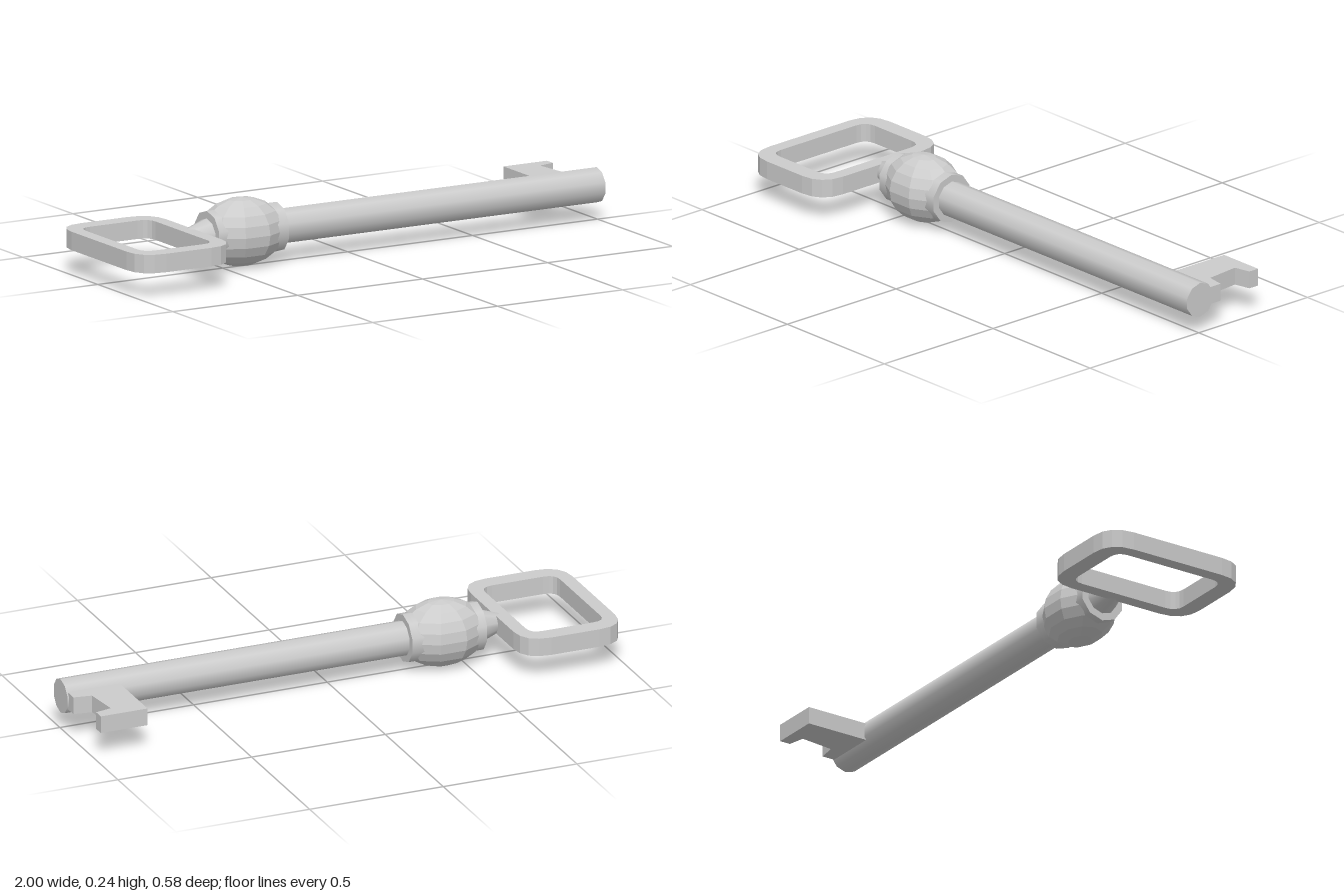
import * as THREE from 'three';

const AXIS_Y = 0.12, AXIS_Z = -0.006, SIDES = 10;

// Closed path around a rectangle with rounded corners
function roundedRect(path, x0, y0, x1, y1, r) {
  path.moveTo(x0 + r, y0);
  path.lineTo(x1 - r, y0);
  path.quadraticCurveTo(x1, y0, x1, y0 + r);
  path.lineTo(x1, y1 - r);
  path.quadraticCurveTo(x1, y1, x1 - r, y1);
  path.lineTo(x0 + r, y1);
  path.quadraticCurveTo(x0, y1, x0, y1 - r);
  path.lineTo(x0, y0 + r);
  path.quadraticCurveTo(x0, y0, x0 + r, y0);
  return path;
}

export function createModel() {
  const key = new THREE.Group();
  key.name = 'key';
  const smooth = new THREE.MeshStandardMaterial({ color: 0xcccccc });
  const faceted = new THREE.MeshStandardMaterial({ color: 0xcccccc, flatShading: true });

  const add = (name, geometry, material) => {
    const mesh = new THREE.Mesh(geometry, material);
    mesh.name = name;
    key.add(mesh);
    return mesh;
  };

  // Round part lying along x, with a vertex pointing straight up
  const rod = (name, x0, x1, r0, r1) => {
    const geometry = new THREE.CylinderGeometry(r0, r1, x1 - x0, SIDES, 1, false, Math.PI / 2);
    geometry.rotateZ(Math.PI / 2);
    add(name, geometry, smooth).position.set((x0 + x1) / 2, AXIS_Y, AXIS_Z);
  };

  // Flat part cut from an outline in x and -z
  const plate = (name, shape, y0, y1) => {
    const geometry = new THREE.ExtrudeGeometry(shape, { depth: y1 - y0, bevelEnabled: false, curveSegments: 4 });
    geometry.rotateX(-Math.PI / 2);
    add(name, geometry, faceted).position.y = y0;
  };

  // Shaft, collar and tapered neck
  rod('shaft', -0.4, 1, 0.062, 0.062);
  rod('collar', -0.56, -0.28, 0.087, 0.087);
  rod('neck', -0.64, -0.55, 0.032, 0.064);

  // Faceted knob, stretched along the shaft
  const knob = add('knob', new THREE.SphereGeometry(0.12, SIDES, 10), faceted);
  knob.scale.x = 1.33;
  knob.position.set(-0.423, AXIS_Y, AXIS_Z);

  // Rectangular ring handle
  const ring = roundedRect(new THREE.Shape(), -1, -0.29, -0.62, 0.275, 0.1);
  ring.holes.push(roundedRect(new THREE.Path(), -0.95, -0.226, -0.67, 0.21, 0.045));
  plate('handleRing', ring, 0.087, 0.152);

  // Notched bit at the tip
  const bit = new THREE.Shape([
    [0.8, 0.02], [0.995, 0.02], [0.995, 0.105], [0.93, 0.115],
    [0.915, 0.242], [0.975, 0.255], [0.975, 0.295], [0.8, 0.295],
  ].map(([x, y]) => new THREE.Vector2(x, y)));
  plate('bit', bit, 0.09, 0.152);

  return key;
}
